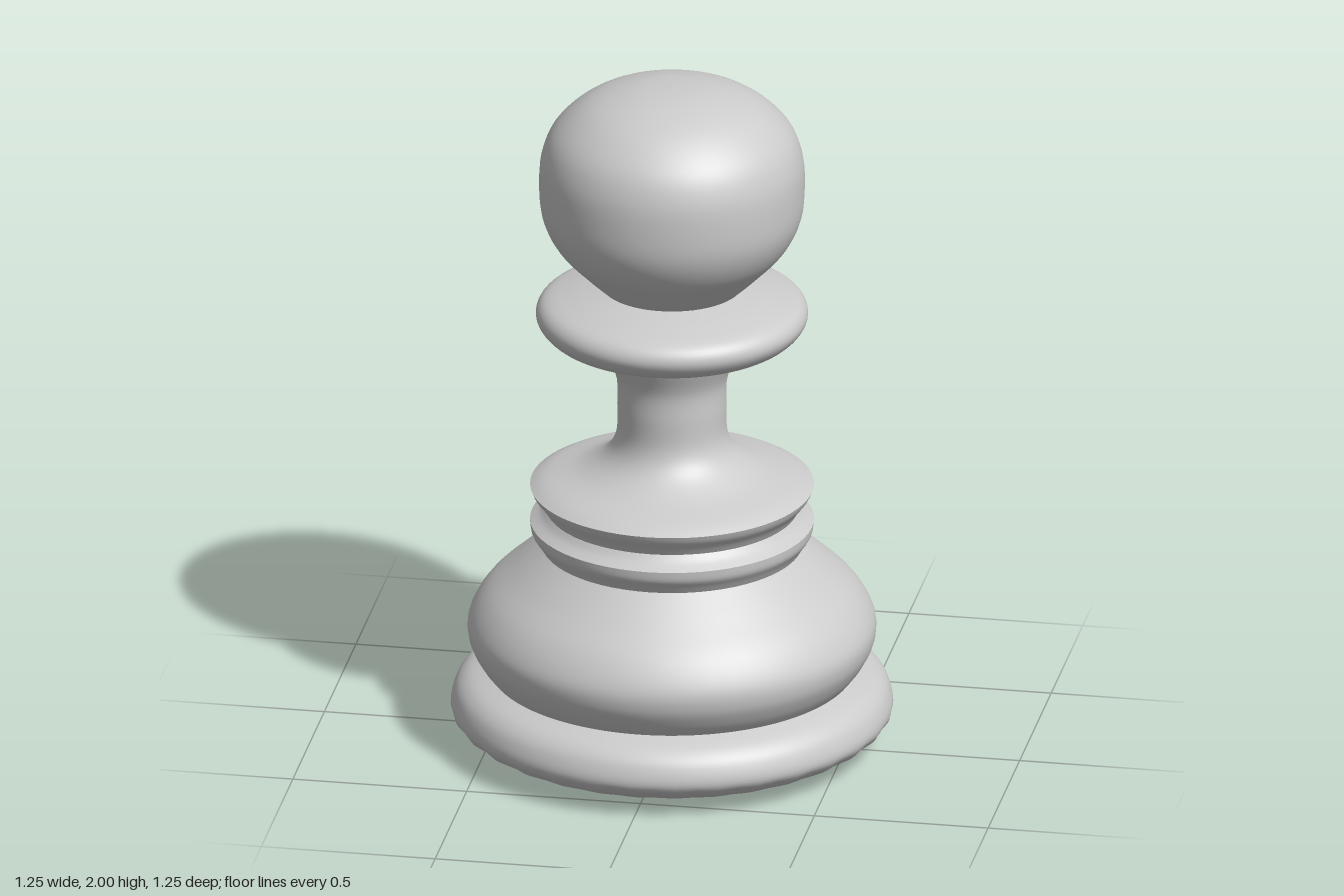
import * as THREE from 'three';

const material = new THREE.MeshStandardMaterial({ color: 0xcccccc, roughness: 0.6 });

// Turned section: a smooth curve through [radius, height] points, bottom to top
function turned(name, points, steps, segments = 64) {
  const curve = new THREE.SplineCurve(points.map(([r, y]) => new THREE.Vector2(r, y)));
  const profile = curve.getPoints(steps);
  profile.forEach((p) => { p.x = Math.max(p.x, 0); });
  const mesh = new THREE.Mesh(new THREE.LatheGeometry(profile, segments), material);
  mesh.name = name;
  return mesh;
}

export function createModel() {
  const group = new THREE.Group();
  group.name = 'pawn';

  // Slightly domed underside
  const underside = turned('underside', [[0, 0.005], [0.25, 0.013], [0.47, 0.03]], 8, 128);
  // Flared foot with a faintly scalloped lower rim
  const foot = turned('foot', [
    [0.47, 0.03], [0.56, 0.05], [0.622, 0.1], [0.615, 0.16], [0.58, 0.2], [0.52, 0.225],
  ], 30, 128);
  const pos = foot.geometry.attributes.position;
  for (let i = 0; i < pos.count; i++) {
    const x = pos.getX(i), y = pos.getY(i), z = pos.getZ(i);
    const fade = Math.max(0, 1 - Math.abs(y - 0.075) / 0.045);
    const k = 1 + 0.009 * fade * Math.cos(32 * Math.atan2(x, z));
    pos.setXYZ(i, x * k, y, z * k);
  }
  group.add(underside, foot);

  // Bulging body
  group.add(turned('body', [
    [0.52, 0.225], [0.55, 0.265], [0.575, 0.32], [0.574, 0.38], [0.53, 0.455], [0.45, 0.53], [0.37, 0.6],
  ], 36));

  // Two collar rings separated by a groove
  group.add(turned('lowerRing', [
    [0.37, 0.6], [0.382, 0.62], [0.398, 0.645], [0.402, 0.675],
  ], 12));
  group.add(turned('groove', [[0.402, 0.675], [0.375, 0.693], [0.358, 0.712]], 10));
  group.add(turned('upperRing', [
    [0.358, 0.712], [0.372, 0.735], [0.392, 0.76], [0.402, 0.782],
  ], 12));

  // Stem flaring into the collar and the neck disc
  group.add(turned('stem', [
    [0.402, 0.782], [0.36, 0.803], [0.26, 0.835], [0.19, 0.88], [0.158, 0.94],
    [0.155, 1.03], [0.157, 1.11], [0.182, 1.18],
  ], 42));

  // Neck disc
  group.add(turned('neckDisc', [
    [0.182, 1.18], [0.27, 1.22], [0.35, 1.253], [0.385, 1.3], [0.365, 1.345], [0.29, 1.372], [0.2, 1.393],
  ], 36));

  // Rounded head
  group.add(turned('head', [
    [0.2, 1.393], [0.255, 1.445], [0.325, 1.52], [0.365, 1.6], [0.376, 1.69], [0.369, 1.79],
    [0.33, 1.875], [0.24, 1.95], [0.12, 1.99], [0, 2],
  ], 54));

  return group;
}
